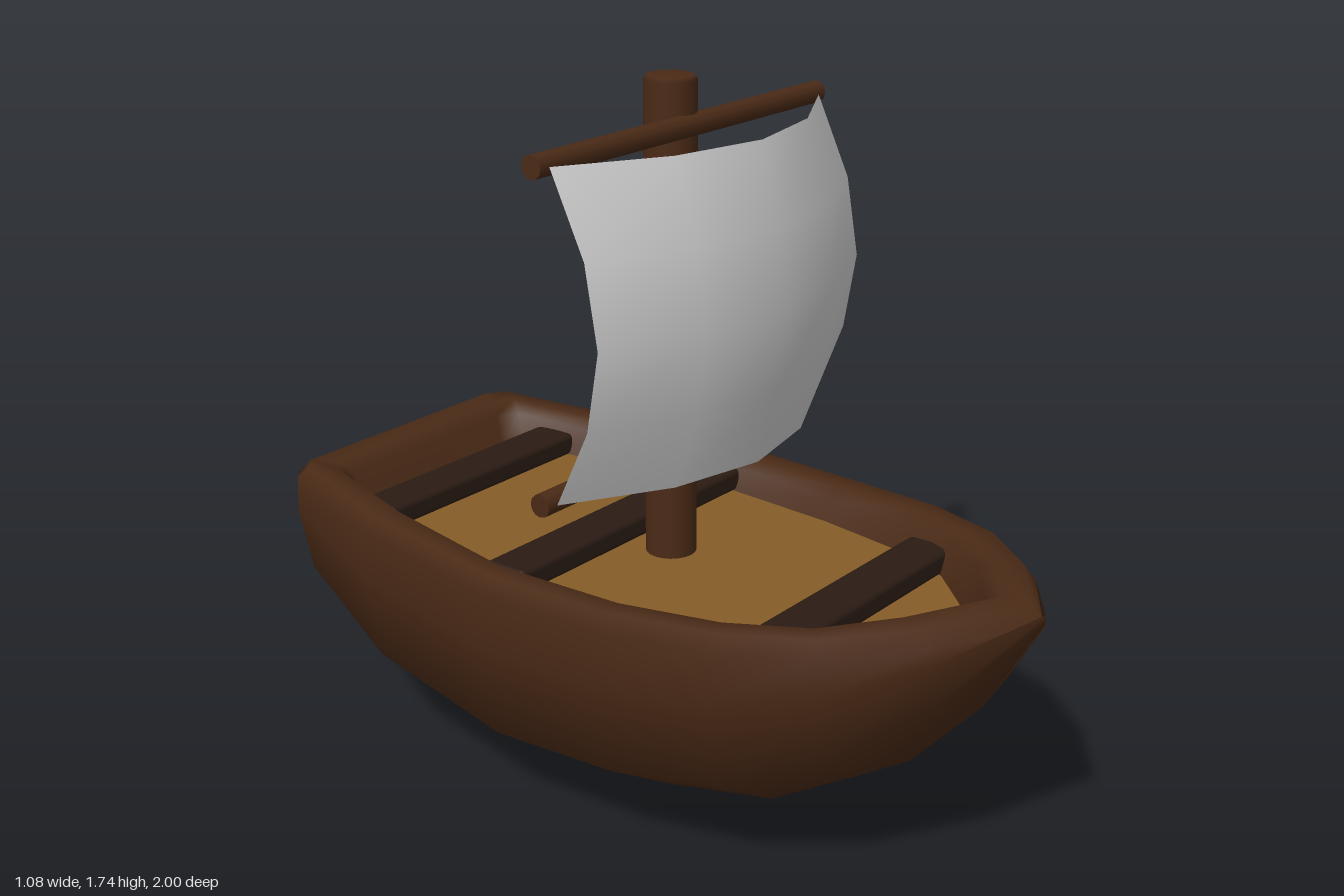
import * as THREE from 'three';
import { mergeVertices } from 'three/addons/utils/BufferGeometryUtils.js';
import { RoundedBoxGeometry } from 'three/addons/geometries/RoundedBoxGeometry.js';

const FLOOR_Y = 0.57;
const INNER = 1.3; // how far the inner wall slopes in, in rim widths

// Stations bow to stern: outer z, half beam, keel y, sheer y, inner z, inner half width
const STATIONS = [
  [1.0, 0, 0.67, 0.71, 0.85, 0],
  [0.86, 0.22, 0.43, 0.695, 0.73, 0.18],
  [0.68, 0.385, 0.23, 0.675, 0.6, 0.3],
  [0.45, 0.48, 0.085, 0.66, 0.42, 0.37],
  [0.17, 0.525, 0.025, 0.645, 0.17, 0.41],
  [-0.17, 0.54, 0.005, 0.645, -0.17, 0.43],
  [-0.62, 0.48, 0.065, 0.66, -0.55, 0.375],
  [-0.96, 0.385, 0.23, 0.68, -0.83, 0.315],
  [-1.0, 0.345, 0.28, 0.675, -0.87, 0.27],
];

const lerp = THREE.MathUtils.lerp;

// Profile of one station from the keel, over the rim and down to the floor
function profile([z, b, k, s, zi, bi], side) {
  const skin = [[0, 0], [0.47, 0.11], [0.9, 0.335], [1, 0.73]]
    .map(([f, h]) => [side * f * b, lerp(k, s, h), z]);
  const rim = [[0.03, s - 0.035], [0.25, s], [0.75, s], [1, s - 0.03], [INNER, FLOOR_Y - 0.01]]
    .map(([t, y]) => [side * lerp(b, bi, t), y, lerp(z, zi, t)]);
  return [...skin, ...rim];
}

function hullGeometry() {
  // Around the outline: left side bow to stern, then right side back to the bow
  const rows = [
    ...STATIONS.map((s) => profile(s, 1)),
    ...[...STATIONS].reverse().map((s) => profile(s, -1)),
  ];
  const n = rows[0].length;
  const index = [];
  for (let u = 0; u < rows.length - 1; u++) {
    for (let v = 0; v < n - 1; v++) {
      const a = u * n + v;
      index.push(a, a + n, a + n + 1, a, a + n + 1, a + 1);
    }
  }
  let geo = new THREE.BufferGeometry();
  geo.setAttribute('position', new THREE.Float32BufferAttribute(rows.flat(2), 3));
  geo.setIndex(index);
  geo = mergeVertices(geo, 1e-4);
  geo.computeVertexNormals();
  return geo;
}

function floorGeometry() {
  const half = STATIONS.map(([z, b, , , zi, bi]) => [lerp(b, bi, INNER), -lerp(z, zi, INNER)]);
  const outline = [...half, ...half.slice(1).reverse().map(([x, y]) => [-x, y])];
  const shape = new THREE.Shape(outline.map(([x, y]) => new THREE.Vector2(x, y)));
  return new THREE.ShapeGeometry(shape).rotateX(-Math.PI / 2);
}

// Sheet of 4 x 4 panels, bellied forward
function sailGeometry() {
  const geo = new THREE.PlaneGeometry(0.975, 0.76, 4, 4);
  const p = geo.attributes.position;
  const belly = (d) => (d > 0.75 ? 0 : d > 0.25 ? 0.73 : 1);
  for (let i = 0; i < p.count; i++) {
    const u = belly(Math.abs(p.getX(i)) / 0.4875);
    const v = belly(Math.abs(p.getY(i)) / 0.38);
    p.setZ(i, 0.05 + 0.19 * u + 0.125 * v - 0.055 * u * v);
  }
  geo.computeVertexNormals();
  return geo;
}

export function createModel() {
  const group = new THREE.Group();
  const wood = new THREE.MeshStandardMaterial({ color: 0x4a2a16 });
  const plank = new THREE.MeshStandardMaterial({ color: 0x855c27, side: THREE.DoubleSide });
  const dark = new THREE.MeshStandardMaterial({ color: 0x2b1c14 });
  const cloth = new THREE.MeshStandardMaterial({ color: 0xcccccc, side: THREE.DoubleSide });

  const add = (name, geo, mat, x = 0, y = 0, z = 0) => {
    const mesh = new THREE.Mesh(geo, mat);
    mesh.name = name;
    mesh.position.set(x, y, z);
    group.add(mesh);
    return mesh;
  };

  add('hull', hullGeometry(), wood);
  add('floor', floorGeometry(), plank, 0, FLOOR_Y, 0);

  // Benches: z and length
  for (const [z, length] of [[-0.71, 0.69], [-0.195, 0.85], [0.51, 0.67]]) {
    add('bench', new RoundedBoxGeometry(length, 0.06, 0.12, 2, 0.015), dark, 0, 0.595, z);
  }

  // Mast with a softened top edge
  const mast = [[0.0625, 0.55], [0.0625, 1.73], [0.055, 1.74], [0, 1.74]]
    .map(([r, y]) => new THREE.Vector2(r, y));
  add('mast', new THREE.LatheGeometry(mast, 20), wood, 0, 0, -0.03);

  // Upper and lower yards
  for (const [name, y] of [['upperYard', 1.63], ['lowerYard', 0.87]]) {
    const yard = new THREE.CylinderGeometry(0.027, 0.027, 1.03, 12).rotateZ(Math.PI / 2);
    add(name, yard, wood, -0.013, y, 0.023);
  }

  add('sail', sailGeometry(), cloth, -0.013, 1.25, 0);
  return group;
}
